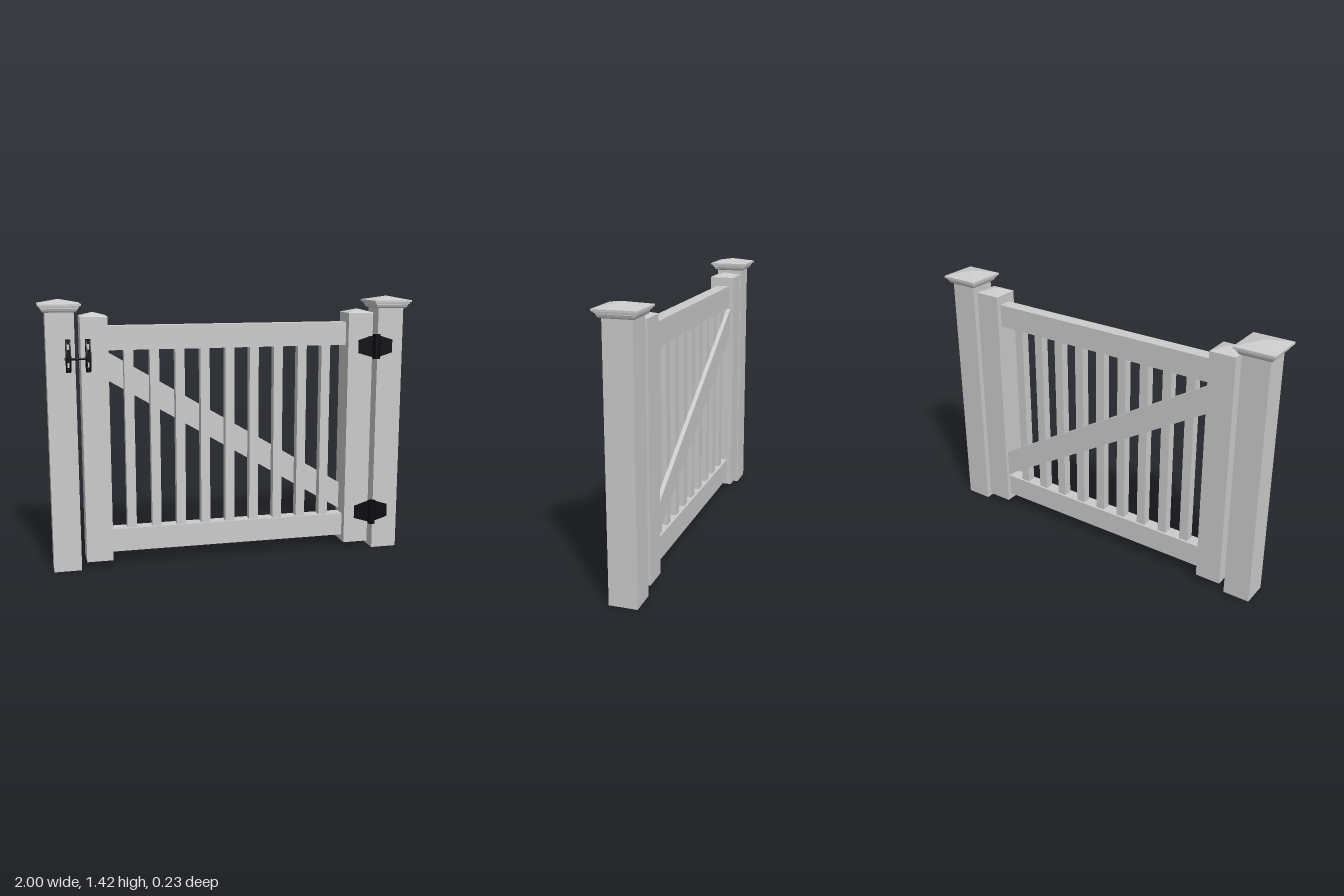
import * as THREE from 'three';

const grey = new THREE.MeshStandardMaterial({ color: 0xcccccc, flatShading: true });
const black = new THREE.MeshStandardMaterial({ color: 0x0b0b10 });
const ZC = -0.0075; // depth centre of the posts
const FACE = 0.065; // front plane of the posts

function add(parent, name, geometry, material, x = 0, y = 0, z = 0) {
  const mesh = new THREE.Mesh(geometry, material);
  mesh.name = name;
  mesh.position.set(x, y, z);
  parent.add(mesh);
  return mesh;
}

// Box given by its extents on each axis
function box(parent, name, [x0, x1], [y0, y1], [z0, z1], material = grey) {
  return add(parent, name, new THREE.BoxGeometry(x1 - x0, y1 - y0, z1 - z0), material,
    (x0 + x1) / 2, (y0 + y1) / 2, (z0 + z1) / 2);
}

// Four-sided turned profile: pairs of [half width, height]
function squareLathe(profile) {
  const points = profile.map(([w, y]) => new THREE.Vector2(w * Math.SQRT2, y));
  return new THREE.LatheGeometry(points, 4).rotateY(Math.PI / 4).toNonIndexed();
}

function polygon(points) {
  return new THREE.Shape(points.map(([x, y]) => new THREE.Vector2(x, y)));
}

function extrude(shape, depth) {
  return new THREE.ExtrudeGeometry(shape, { depth, bevelEnabled: false, curveSegments: 16 });
}

// Strap hinge: two tapered leaves, raised knuckle and barrel
function hinge(y) {
  const group = new THREE.Group();
  group.name = 'hinge';
  group.position.set(0.807, y, FACE - 0.003);
  for (const s of [-1, 1]) {
    const pts = [[0, -0.058], [0.03, -0.056], [0.097, -0.035], [0.097, 0.035], [0.03, 0.056], [0, 0.058]];
    const leaf = polygon(s > 0 ? pts : pts.map(([x, v]) => [-x, v]).reverse());
    add(group, 'hingeLeaf', extrude(leaf, 0.01), black);
  }
  box(group, 'hingeKnuckle', [-0.018, 0.018], [-0.06, 0.06], [0, 0.022], black);
  add(group, 'hingeBarrel', new THREE.CylinderGeometry(0.02, 0.02, 0.134, 20), black, 0, 0, 0.022);
  return group;
}

// Latch housing: two D-shaped cheeks around a slotted core
function latchHousing(x) {
  const group = new THREE.Group();
  group.name = 'latchHousing';
  group.position.set(x, 1.14, FACE - 0.002);
  const d = new THREE.Shape();
  d.moveTo(0, -0.085);
  d.bezierCurveTo(0.032, -0.08, 0.052, -0.045, 0.052, 0);
  d.bezierCurveTo(0.052, 0.045, 0.035, 0.08, 0.012, 0.085);
  d.lineTo(0, 0.085);
  for (const cx of [-0.013, 0.006]) {
    // the profile's x becomes depth, its extrusion runs sideways
    const cheek = extrude(d, 0.007).rotateY(-Math.PI / 2).translate(0.007, 0, 0);
    add(group, 'latchCheek', cheek, black, cx, 0, 0);
  }
  box(group, 'latchBack', [-0.008, 0.008], [-0.084, 0.084], [0, 0.006], black);
  for (const [y, h, depth] of [[0.074, 0.02, 0.02], [0.012, 0.03, 0.048], [-0.015, 0.028, 0.048], [-0.073, 0.022, 0.012]]) {
    box(group, 'latchCore', [-0.008, 0.008], [y - h / 2, y + h / 2], [0, depth], black);
  }
  for (const y of [0.045, -0.045]) {
    box(group, 'latchPlate', [-0.006, 0.006], [y - 0.014, y + 0.014], [0.004, 0.009]);
  }
  return group;
}

export function createModel() {
  const model = new THREE.Group();
  model.name = 'gardenGate';

  // Stepped, overhanging cap with a low pyramid top
  const postCap = squareLathe([
    [0, 1.36], [0.081, 1.36], [0.087, 1.366], [0.092, 1.378], [0.092, 1.383],
    [0.098, 1.383], [0.1, 1.392], [0.107, 1.392], [0.107, 1.402], [0, 1.425],
  ]);
  const stileCap = squareLathe([
    [0, 1.325], [0.07, 1.325], [0.07, 1.335], [0.067, 1.338], [0, 1.357],
  ]);

  // Fixed posts and gate stiles on both sides
  for (const s of [-1, 1]) {
    add(model, 'post', new THREE.BoxGeometry(0.145, 1.36, 0.145), grey, s * 0.893, 0.68, ZC);
    add(model, 'postCap', postCap, grey, s * 0.893, 0, ZC);
    add(model, 'gateStile', new THREE.BoxGeometry(0.14, 1.285, 0.14), grey, s * 0.722, 0.6825, -0.01);
    add(model, 'gateStileCap', stileCap, grey, s * 0.722, 0, -0.01);
  }

  // Rails
  box(model, 'bottomRail', [-0.655, 0.655], [0.075, 0.2], [-0.053, 0.02]);
  box(model, 'topRail', [-0.655, 0.655], [1.16, 1.285], [-0.053, 0.02]);

  // Pickets
  for (let i = 0; i < 9; i++) {
    const x = (i - 4) * 0.1355;
    box(model, 'picket', [x - 0.025, x + 0.025], [0.195, 1.165], [-0.04, 0.008]);
  }

  // Diagonal brace behind the pickets
  const brace = polygon([[-0.655, 1.0], [0.655, 0.215], [0.655, 0.365], [-0.655, 1.15]]);
  add(model, 'diagonalBrace', extrude(brace, 0.023), grey, 0, 0, -0.062);

  // Hardware
  for (const y of [0.217, 1.153]) model.add(hinge(y));
  const latch = new THREE.Group();
  latch.name = 'latch';
  for (const x of [-0.856, -0.756]) latch.add(latchHousing(x));
  add(latch, 'latchBar', new THREE.CylinderGeometry(0.006, 0.006, 0.13, 12).rotateZ(Math.PI / 2), black, -0.81, 1.127, 0.091);
  model.add(latch);

  return model;
}
